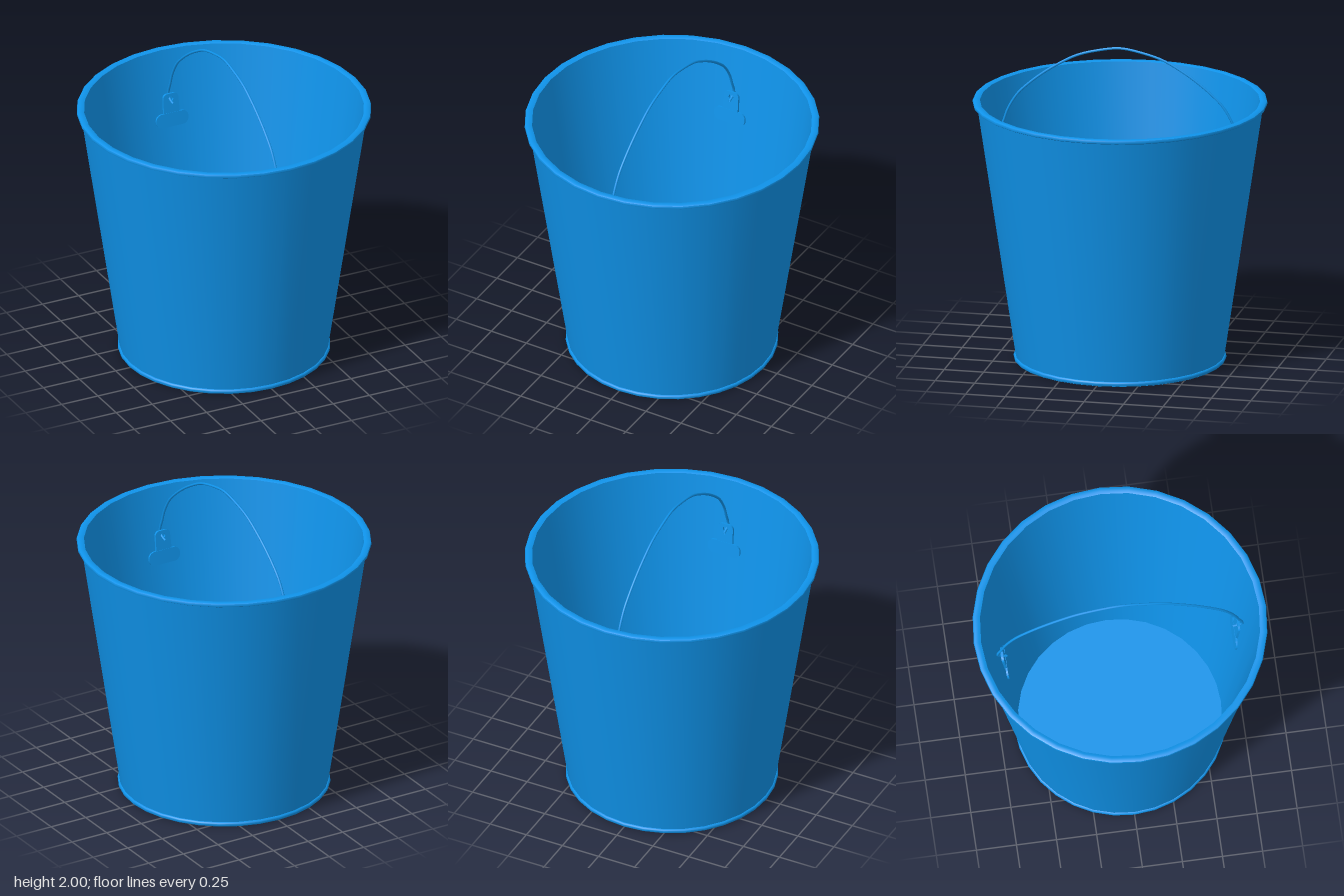
import * as THREE from 'three';
import { toCreasedNormals } from 'three/addons/utils/BufferGeometryUtils.js';

const SEGMENTS = 32;
const blue = new THREE.MeshStandardMaterial({ color: 0x0f93ea, side: THREE.DoubleSide });

function part(name, geometry, parent) {
  const mesh = new THREE.Mesh(geometry, blue);
  mesh.name = name;
  parent.add(mesh);
  return mesh;
}

// Surface of revolution from [radius, height] pairs
function turned(points) {
  const profile = points.map(([r, y]) => new THREE.Vector2(r, y));
  return toCreasedNormals(new THREE.LatheGeometry(profile, SEGMENTS), 0.7);
}

// Rounded rectangle centred on the origin
function roundedRect(w, h, r) {
  const x = w / 2 - r, y = h / 2 - r;
  const s = new THREE.Shape();
  s.absarc(x, y, r, 0, Math.PI / 2);
  s.absarc(-x, y, r, Math.PI / 2, Math.PI);
  s.absarc(-x, -y, r, Math.PI, Math.PI * 1.5);
  s.absarc(x, -y, r, Math.PI * 1.5, Math.PI * 2);
  s.closePath();
  return s;
}

function extruded(shape, depth) {
  const g = new THREE.ExtrudeGeometry(shape, { depth, bevelEnabled: false, curveSegments: 6 });
  g.translate(0, 0, -depth / 2);
  return toCreasedNormals(g, 0.6);
}

// Handle mount: rounded plate with an eyelet tab, leaning with the wall
function createMount() {
  const mount = new THREE.Group();
  mount.name = 'handleMount';
  part('mountPlate', extruded(roundedRect(0.22, 0.09, 0.04), 0.012), mount);

  const tab = new THREE.Shape();
  tab.moveTo(-0.055, 0.035);
  tab.lineTo(0.055, 0.035);
  tab.lineTo(0.052, 0.13);
  tab.absarc(0.022, 0.14, 0.03, 0, Math.PI / 2);
  tab.absarc(-0.022, 0.14, 0.03, Math.PI / 2, Math.PI);
  tab.closePath();
  const hole = new THREE.Path();
  hole.absarc(0, 0.135, 0.017, 0, Math.PI * 2, true);
  tab.holes.push(hole);
  part('mountTab', extruded(tab, 0.015), mount).position.z = 0.004;

  mount.position.set(0, 1.25, 0.71);
  mount.rotation.x = 0.14;
  return mount;
}

export function createModel() {
  const bucket = new THREE.Group();
  bucket.name = 'bucket';

  // Tapered shell and floor
  part('outerWall', turned([[0.645, 0.02], [0.887, 1.645]]), bucket);
  part('innerWall', turned([[0.866, 1.657], [0.63, 0.025]]), bucket);
  part('floor', turned([[0.631, 0.025], [0, 0.025]]), bucket);
  part('underside', turned([[0, 0.003], [0.648, 0.003]]), bucket);

  // Rolled rim and foot ring
  part('rim', turned([
    [0.866, 1.657], [0.88, 1.662], [0.9, 1.662], [0.909, 1.657],
    [0.912, 1.648], [0.909, 1.639], [0.9, 1.634], [0.882, 1.634],
  ].reverse()), bucket);
  part('footRing', turned([
    [0.645, 0.003], [0.652, 0.005], [0.657, 0.012], [0.658, 0.02],
    [0.655, 0.028], [0.649, 0.033], [0.642, 0.033],
  ]), bucket);

  // Mounts at front and back
  for (const turn of [0, Math.PI]) {
    const side = new THREE.Group();
    side.name = turn ? 'backMount' : 'frontMount';
    side.rotation.y = turn;
    side.add(createMount());
    bucket.add(side);
  }

  // Wire handle arching front to back, hooked through the eyelets
  const half = [
    [0.705, 1.365], [0.735, 1.375], [0.763, 1.395], [0.758, 1.43], [0.738, 1.48],
    [0.71, 1.56], [0.65, 1.66], [0.58, 1.73], [0.48, 1.81], [0.38, 1.875],
    [0.27, 1.933], [0.13, 1.973],
  ];
  const path = [...half, [0, 1.992], ...half.map(([z, y]) => [-z, y]).reverse()];
  const curve = new THREE.CatmullRomCurve3(path.map(([z, y]) => new THREE.Vector3(0, y, z)));
  part('handle', new THREE.TubeGeometry(curve, 96, 0.008, 8), bucket);

  return bucket;
}
